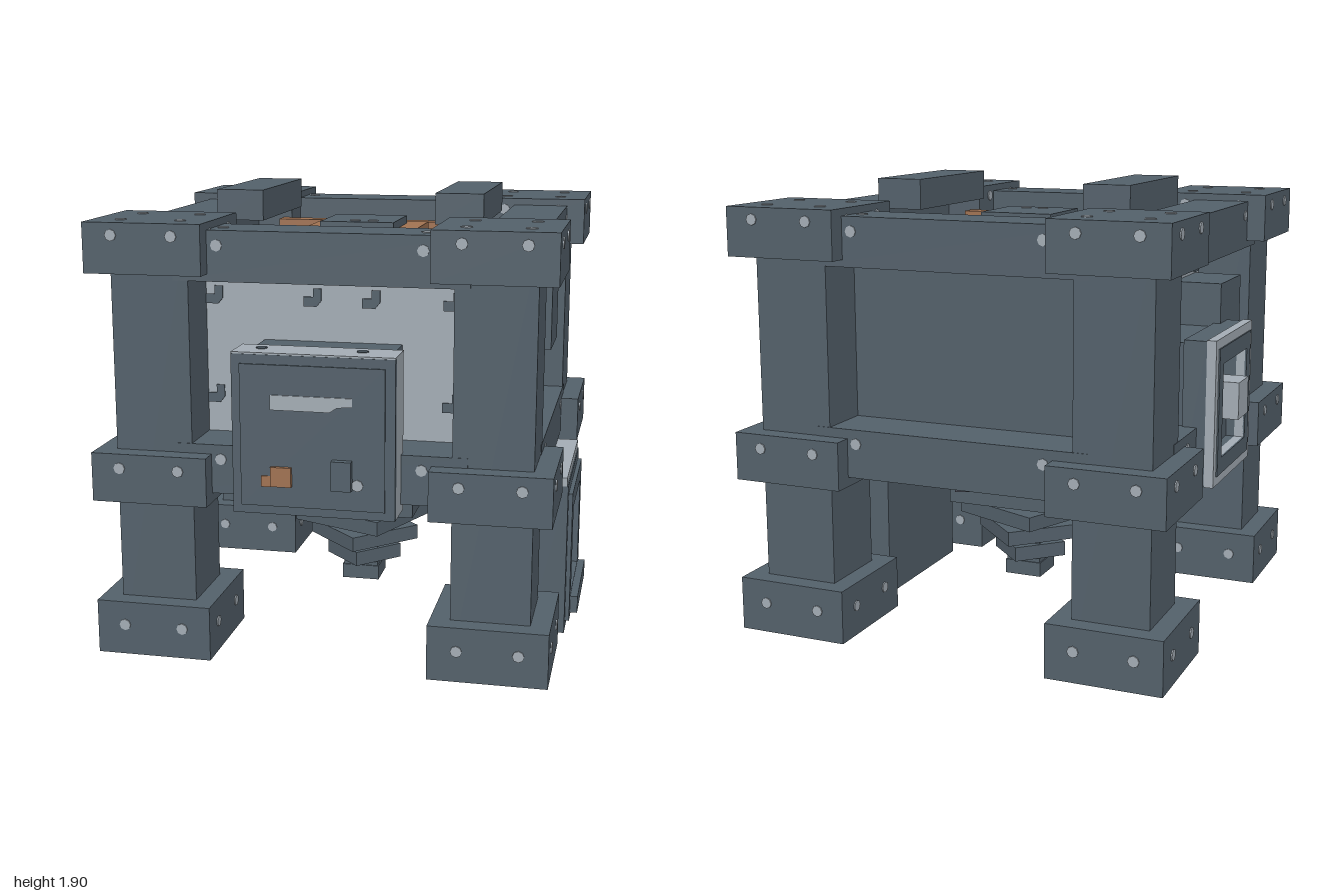
import * as THREE from 'three';

export function createModel() {
  const model = new THREE.Group();
  const mat = (name, color) => {
    const m = new THREE.MeshStandardMaterial({ color });
    m.name = name;
    return m;
  };
  const slate = mat('slate steel', 0x53606a);
  const pale = mat('pale steel', 0xa3acb4);
  const copper = mat('copper', 0xa07252);
  const iron = mat('dark iron', 0x4a4c57);
  const CX = -0.0125, CZ = -0.0375;

  const add = (name, geo, m) => {
    const mesh = new THREE.Mesh(geo, m);
    mesh.name = name;
    model.add(mesh);
    return mesh;
  };
  // Box given by its limits on each axis
  const box = (name, m, x0, x1, y0, y1, z0, z1) => {
    const mesh = add(name, new THREE.BoxGeometry(x1 - x0, y1 - y0, z1 - z0), m);
    mesh.position.set((x0 + x1) / 2, (y0 + y1) / 2, (z0 + z1) / 2);
    return mesh;
  };
  // Flat bolt head lying on a surface, facing along the given axis
  const rivetGeo = new THREE.CylinderGeometry(0.024, 0.024, 0.008, 8);
  const rivet = (axis, x, y, z, m = pale) => {
    const r = add('rivet', rivetGeo, m);
    r.position.set(x, y, z);
    if (axis === 'x') r.rotation.z = Math.PI / 2;
    if (axis === 'z') r.rotation.x = Math.PI / 2;
  };
  // Hooked slot mark, drawn in its own xy plane
  const hook = new THREE.Shape();
  [[-0.04, -0.035], [0.015, -0.035], [0.035, -0.01], [0.035, 0.04], [0, 0.04], [0, 0.005], [-0.04, 0.005]]
    .forEach(([x, y], i) => (i ? hook.lineTo(x, y) : hook.moveTo(x, y)));
  const hookGeo = new THREE.ExtrudeGeometry(hook, { depth: 0.006, bevelEnabled: false });
  const slot = (x, y, z, rx = 0, ry = 0) => {
    const s = add('slotMark', hookGeo, slate);
    s.position.set(x, y, z);
    s.rotation.set(rx, ry, 0);
  };
  // Rectangular frame facing +z, width w, height h, with an opening
  const frameGeo = (w, h, hx0, hx1, hy0, hy1, depth) => {
    const s = new THREE.Shape();
    s.moveTo(-w / 2, -h / 2).lineTo(w / 2, -h / 2).lineTo(w / 2, h / 2).lineTo(-w / 2, h / 2);
    const o = new THREE.Path();
    o.moveTo(hx0, hy0).lineTo(hx0, hy1).lineTo(hx1, hy1).lineTo(hx1, hy0);
    s.holes.push(o);
    return new THREE.ExtrudeGeometry(s, { depth, bevelEnabled: false });
  };

  // Corner posts with three riveted collars each
  for (const sx of [-1, 1]) for (const sz of [-1, 1]) {
    const x = CX + sx * 0.7, z = CZ + sz * 0.7;
    box('post', slate, x - 0.1625, x + 0.1625, 0.02, 1.8, z - 0.1625, z + 0.1625);
    [[0, 0.23, 0.13], [0.665, 0.87, 0.81], [1.61, 1.815, 1.765]].forEach(([y0, y1, ry], level) => {
      box('collar', slate, x - 0.245, x + 0.245, y0, y1, z - 0.245, z + 0.245);
      for (const d of [-0.125, 0.125]) for (const s of [-1, 1]) {
        rivet('z', x + d, ry, z + s * 0.246);
        rivet('x', x + s * 0.246, ry, z + d);
        if (level === 2) rivet('y', x + d, y1, z + s * 0.125);
        if (level === 0) rivet('y', x + d, 0.004, z + s * 0.125);
      }
    });
  }

  // Upper and lower beams on all four sides
  for (const [y0, y1, ry] of [[0.705, 0.91, 0.85], [1.58, 1.785, 1.725]]) for (const s of [-1, 1]) {
    const zi = CZ + s * 0.62, zo = CZ + s * 0.865, xi = CX + s * 0.62, xo = CX + s * 0.865;
    box('crossBeam', slate, CX - 0.6, CX + 0.6, y0, y1, Math.min(zi, zo), Math.max(zi, zo));
    box('sideBeam', slate, Math.min(xi, xo), Math.max(xi, xo), y0, y1, CZ - 0.6, CZ + 0.6);
    for (const d of [-0.415, 0.415]) {
      rivet('z', CX + d, ry, zo);
      rivet('x', xo, ry, CZ + d);
      if (y0 > 1) rivet('y', CX + d, y1, CZ + s * 0.765);
    }
  }

  // Core body with dark back and floor
  box('body', pale, CX - 0.62, CX + 0.62, 0.72, 1.63, CZ - 0.62, CZ + 0.63);
  box('backPanel', slate, CX - 0.62, CX + 0.62, 0.72, 1.63, CZ - 0.628, CZ - 0.62);
  box('floorPanel', slate, CX - 0.62, CX + 0.62, 0.71, 0.72, CZ - 0.62, CZ + 0.62);
  for (const y of [1.49, 1.07]) for (const d of [-0.5, -0.08, 0.165, 0.5]) {
    slot(CX + d, y, CZ + 0.63);
    slot(CX + 0.62, y, CZ - d, 0, Math.PI / 2);
    slot(CX - 0.62, y, CZ + d, 0, -Math.PI / 2);
  }
  for (const z of [-0.56, 0.47, -0.2, 0.12]) for (const x of [-0.17, 0.05])
    slot(z === -0.2 || z === 0.12 ? x * 2.4 + 0.08 : x, 1.63, z, -Math.PI / 2);
  // Small boxes on the side panels
  box('sideBox', slate, 0.6, 0.82, 1.16, 1.45, -0.53, -0.2);
  box('sideBox', slate, -0.845, -0.625, 1.16, 1.45, 0.125, 0.455);

  // Top deck: copper rails, stepped hatch and two bars
  for (const s of [-1, 1]) {
    const z = CZ + s * 0.412;
    box('railBase', slate, CX - 0.54, CX + 0.54, 1.62, 1.665, z - 0.085, z + 0.085);
    box('copperRail', copper, CX - 0.495, CX + 0.495, 1.66, 1.705, z - 0.04, z + 0.04);
    const x = CX + s * 0.475;
    box('topBar', slate, x - 0.102, x + 0.102, 1.77, 1.9, CZ - 0.33, CZ + 0.33);
  }
  [['hatchBase', slate, 0.285, 1.655], ['hatchRing', copper, 0.248, 1.72], ['hatchLid', slate, 0.163, 1.755]]
    .forEach(([name, m, h, top]) => box(name, m, CX - h, CX + h, 1.62, top, CZ - h, CZ + h));
  for (const x of [-0.03, 0.05]) rivet('y', x, 1.755, 0.07);

  // Front control box
  box('controlCollar', slate, -0.3, 0.28, 0.71, 1.31, 0.55, 0.79);
  box('controlShell', pale, -0.34, 0.32, 0.67, 1.325, 0.78, 0.925);
  box('controlFace', slate, -0.34, 0.32, 0.67, 1.318, 0.925, 0.948);
  box('controlLid', pale, -0.34, 0.32, 1.318, 1.325, 0.925, 0.946);
  box('controlInset', slate, -0.305, 0.28, 0.705, 1.28, 0.94, 0.955);
  const display = new THREE.Shape();
  display.moveTo(-0.18, 1.1).lineTo(0.06, 1.1).lineTo(0.09, 1.12).lineTo(0.15, 1.125).lineTo(0.15, 1.16).lineTo(-0.18, 1.16);
  add('displaySlot', new THREE.ExtrudeGeometry(display, { depth: 0.006, bevelEnabled: false }), pale).position.z = 0.954;
  box('copperButton', copper, -0.18, -0.095, 0.79, 0.87, 0.95, 0.972);
  box('copperMark', copper, -0.22, -0.18, 0.785, 0.83, 0.953, 0.96);
  box('lever', slate, 0.07, 0.15, 0.79, 0.91, 0.95, 0.985);
  rivet('z', 0.17, 0.81, 0.956);
  for (const x of [-0.24, 0.17]) rivet('y', x, 1.325, 0.85, slate);

  // Socket on the -x side, with a pale plug in its recess
  box('socketBody', slate, -0.82, -0.6, 0.68, 1.26, -0.31, 0.23);
  const socket = (name, m, w, depth, x) => {
    const f = add(name, frameGeo(w, w + 0.04, -0.19, 0.19, -0.2, 0.2, depth), m);
    f.position.set(x, 0.97, -0.04);
    f.rotation.y = -Math.PI / 2;
  };
  socket('socketNeck', slate, 0.57, 0.1, -0.815);
  socket('socketFrame', pale, 0.58, 0.04, -0.915);
  socket('socketFace', slate, 0.5, 0.008, -0.953);
  box('plug', pale, -1, -0.8, 0.91, 1.07, -0.12, 0.035);

  // Chute on the +x side, with recess, ledge and pale lid
  box('chuteBody', slate, 0.55, 0.8, 0, 0.665, -0.365, 0.3);
  const chute = (name, w, h, depth, x) => {
    const f = add(name, frameGeo(w, h, -0.2125, 0.2125, -0.19, 0.21, depth), slate);
    f.position.set(x, 0.3325, -0.0325);
    f.rotation.y = Math.PI / 2;
  };
  chute('chuteRim', 0.665, 0.665, 0.155, 0.795);
  chute('chuteFrame', 0.585, 0.58, 0.02, 0.948);
  box('chuteLedge', slate, 0.95, 1, 0.065, 0.14, -0.285, 0.215);
  box('chuteLid', pale, 0.6, 0.945, 0.665, 0.703, -0.365, 0.3);
  const stain = new THREE.Shape();
  [[-0.085, 0.03], [-0.07, -0.01], [-0.04, -0.015], [-0.03, -0.05], [0.03, -0.05], [0.045, -0.015], [0.085, -0.005], [0.08, 0.03], [0.03, 0.025], [-0.04, 0.035]]
    .forEach(([x, y], i) => (i ? stain.lineTo(x, y) : stain.moveTo(x, y)));
  const ore = add('copperOre', new THREE.ExtrudeGeometry(stain, { depth: 0.008, bevelEnabled: false }), copper);
  ore.position.set(0.8, 0.31, -0.035);
  ore.rotation.y = Math.PI / 2;

  // Drill: square plates turned against each other on a square shaft
  const Q = Math.PI / 4;
  [[0.09, 0.065, 0.12, Q, slate], [0.18, 0.065, 0.1725, 0, slate], [0.275, 0.065, 0.2525, 0, slate],
    [0.37, 0.065, 0.32, 0.385, slate], [0.46, 0.065, 0.39, Q, slate], [0.555, 0.065, 0.46, -0.4, iron],
    [0.645, 0.07, 0.742, Q, iron], [0.12, 0.55, 0.112, Q, slate]].forEach(([y, h, r, turn, m], i) => {
    const p = add(i === 7 ? 'drillShaft' : 'drillPlate', new THREE.CylinderGeometry(r, r, h, 4).toNonIndexed(), m);
    p.geometry.computeVertexNormals();
    p.position.set(CX, y + h / 2, CZ);
    p.rotation.y = turn;
  });

  return model;
}
